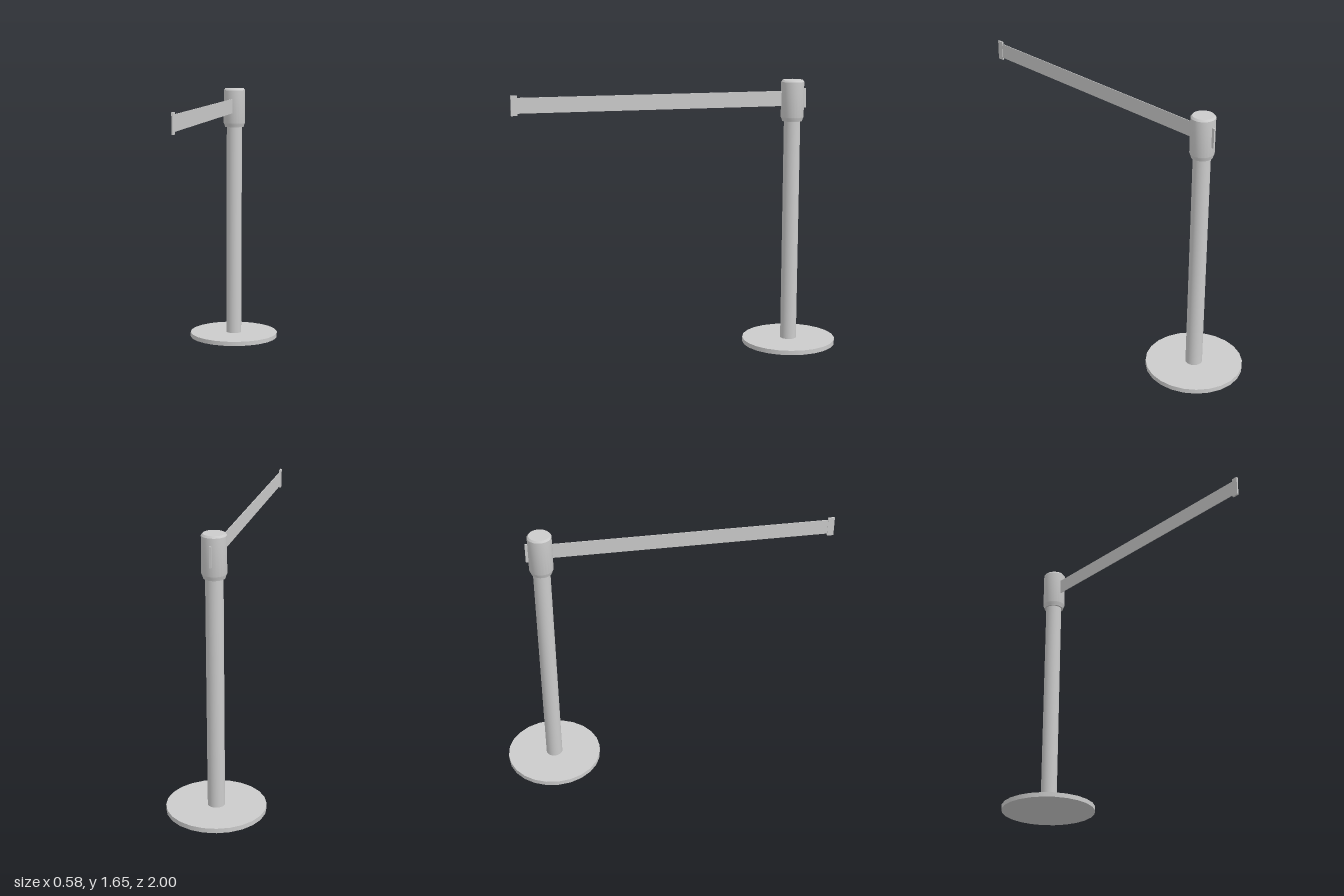
import * as THREE from 'three';
import { toCreasedNormals } from 'three/addons/utils/BufferGeometryUtils.js';

const POST_Z = -0.71;

export function createModel() {
  const group = new THREE.Group();
  const material = new THREE.MeshStandardMaterial({ color: 0xcccccc });

  function add(name, geometry, y, z) {
    const mesh = new THREE.Mesh(geometry, material);
    mesh.name = name;
    mesh.position.set(0, y, z);
    group.add(mesh);
  }

  // Round floor plate and pole
  add('base', new THREE.CylinderGeometry(0.29, 0.29, 0.028, 24), 0.014, POST_Z);
  add('pole', new THREE.CylinderGeometry(0.05, 0.05, 1.39, 24), 0.715, POST_Z);

  // Belt housing with a tapered foot and a bevelled top
  const profile = [
    [0, 1.403], [0.061, 1.403], [0.064, 1.414], [0.07, 1.428],
    [0.07, 1.642], [0.061, 1.653], [0, 1.653],
  ].map(([r, y]) => new THREE.Vector2(r, y));
  const head = toCreasedNormals(new THREE.LatheGeometry(profile, 24), 0.45);
  add('beltHousing', head, 0, POST_Z);

  // Flat belt stretched forward from the housing
  add('belt', new THREE.BoxGeometry(0.004, 0.092, 1.63), 1.541, 0.165);

  // Clip at the free end of the belt, and the receiver slot on the back
  add('beltClip', new THREE.BoxGeometry(0.01, 0.118, 0.038), 1.541, 0.981);
  add('rearReceiver', new THREE.BoxGeometry(0.01, 0.118, 0.035), 1.541, -0.7775);

  return group;
}
